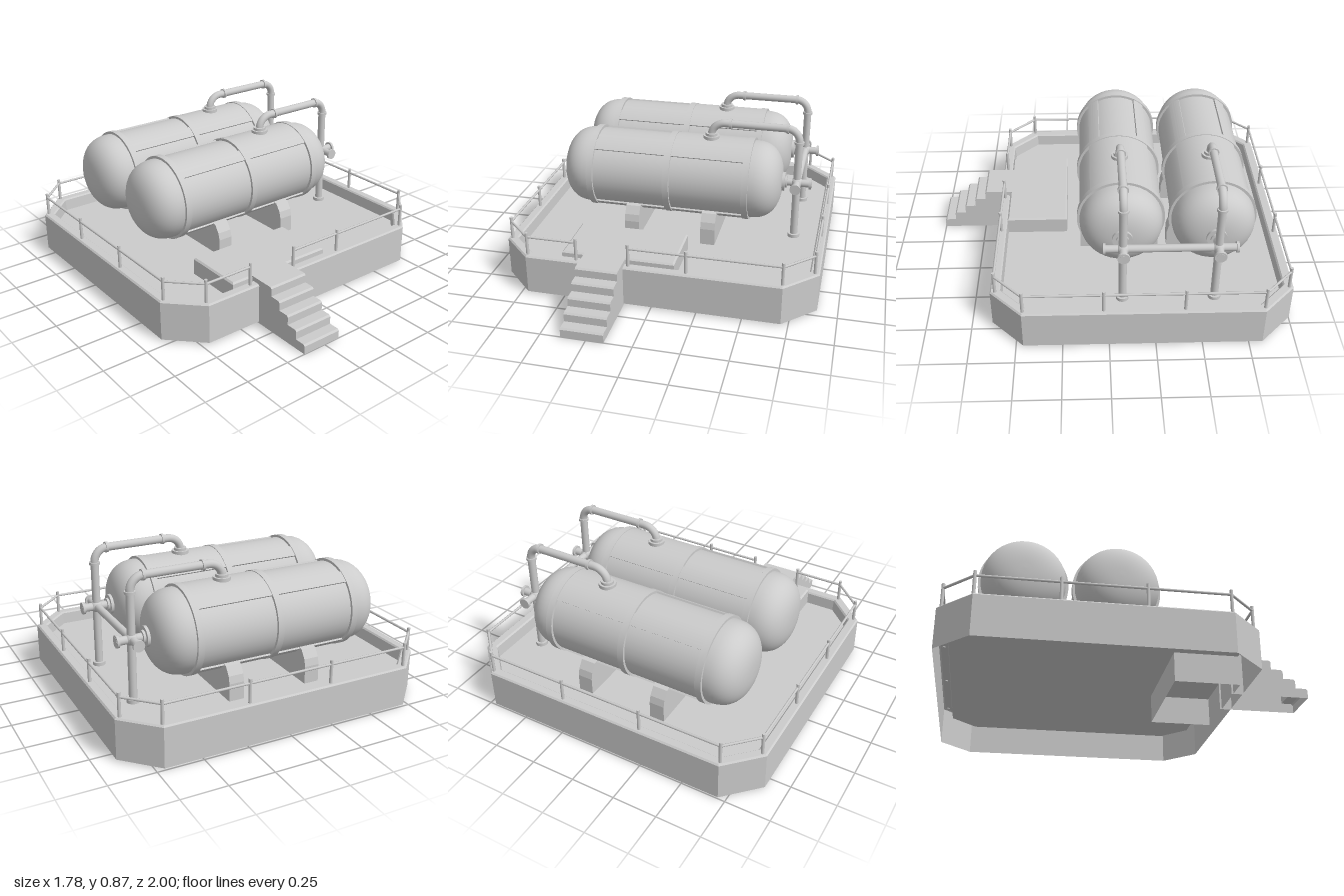
import * as THREE from 'three';
import { mergeGeometries, toCreasedNormals } from 'three/addons/utils/BufferGeometryUtils.js';

const solid = new THREE.MeshStandardMaterial({ color: 0xcccccc });
const thin = new THREE.MeshStandardMaterial({ color: 0xcccccc, side: THREE.DoubleSide });
const FLOOR = 0.163, AXIS_Y = 0.51, TANK_Z = [-0.075, -0.575], RISER_X = 0.693;

function add(parent, name, geometry, material = solid) {
  const mesh = new THREE.Mesh(geometry, material);
  mesh.name = name;
  parent.add(mesh);
  return mesh;
}

// Skin between successive rows of [x, y, z] points
function sheet(rows, closed) {
  const n = rows[0].length, index = [];
  for (let r = 0; r < rows.length - 1; r++) {
    for (let i = 0; i < (closed ? n : n - 1); i++) {
      const a = r * n + i, b = r * n + (i + 1) % n;
      index.push(a, b, a + n, b, b + n, a + n);
    }
  }
  const g = new THREE.BufferGeometry();
  g.setAttribute('position', new THREE.Float32BufferAttribute(rows.flat(2), 3));
  g.setIndex(index);
  const flat = g.toNonIndexed();
  flat.computeVertexNormals();
  return flat;
}

// Cylinder between two points
function rod(from, to, r, sides = 16) {
  const a = new THREE.Vector3(...from), b = new THREE.Vector3(...to);
  const dir = b.clone().sub(a);
  const g = new THREE.CylinderGeometry(r, r, dir.length(), sides);
  g.applyQuaternion(new THREE.Quaternion().setFromUnitVectors(new THREE.Vector3(0, 1, 0), dir.normalize()));
  const c = a.add(b).multiplyScalar(0.5);
  return g.translate(c.x, c.y, c.z);
}

// Chamfered deck outline, inset by d
function outline(d) {
  const x = 0.888 - d, z0 = -1 + d, z1 = 0.638 - d, c = 0.177 - 0.586 * d;
  return [[x, z1 - c], [x, z0 + c], [x - c, z0], [c - x, z0], [-x, z0 + c], [-x, z1 - c], [c - x, z1], [x - c, z1]];
}

function makeDeck() {
  const g = new THREE.Group();
  g.name = 'deck';
  // Outer wall, rim and inner wall as one open-bottomed skin
  const profile = [[0, 0.01], [0, 0.228], [0.008, 0.236], [0.047, 0.236], [0.055, 0.228], [0.06, FLOOR]];
  add(g, 'rimWall', sheet(profile.map(([d, y]) => outline(d).map(([x, z]) => [x, y, z])), true), thin);
  const floor = new THREE.ShapeGeometry(new THREE.Shape(outline(0.06).map(([x, z]) => new THREE.Vector2(x, -z))));
  add(g, 'deckFloor', floor.rotateX(-Math.PI / 2).translate(0, FLOOR, 0), thin);

  // Hollow landing
  const rect = (y, d) => [[-0.517 + d, y, 0.23 + d], [0.118 - d, y, 0.23 + d], [0.118 - d, y, 0.58 - d], [-0.517 + d, y, 0.58 - d]];
  add(g, 'landing', sheet([rect(0, 0), rect(0.253, 0), rect(0.262, 0.009)], true), thin);
  const top = new THREE.PlaneGeometry(0.617, 0.332).rotateX(-Math.PI / 2);
  add(g, 'landingTop', top.translate(-0.1995, 0.262, 0.405), thin);

  // Stairs: treads with eased noses and two side cheeks
  const steps = [[0.57, 0.262]];
  for (let i = 0; i < 5; i++) {
    const z = 0.736 + i * 0.066, y = 0.262 - i * 0.052;
    steps.push([z - 0.009, y], [z, y - 0.009], [z, i < 4 ? y - 0.052 : 0]);
  }
  add(g, 'stairTreads', sheet([-0.388, -0.153].map(x => steps.map(([z, y]) => [x, y, z]))), thin);
  const cheek = new THREE.Shape([...steps, [0.57, 0]].map(([z, y]) => new THREE.Vector2(-z, y)));
  for (const x of [-0.388, -0.153]) {
    add(g, 'stairCheek', new THREE.ShapeGeometry(cheek).rotateY(Math.PI / 2).translate(x, 0, 0), thin);
  }
  return g;
}

function makeRailing() {
  const g = new THREE.Group();
  g.name = 'railing';
  // Posts in order around the deck, leaving a gap at the stairs
  const posts = [[-0.13, 0.61], [0.19, 0.61], [0.707, 0.61], [0.862, 0.455], [0.862, 0.03], [0.862, -0.4],
    [0.862, -0.82], [0.707, -0.975], [0.237, -0.975], [-0.24, -0.975], [-0.707, -0.975], [-0.862, -0.82],
    [-0.862, -0.4], [-0.862, 0.03], [-0.862, 0.455], [-0.707, 0.61], [-0.425, 0.61]];
  posts.forEach(([x, z], i) => {
    add(g, 'railPost', rod([x, 0.23, z], [x, 0.367, z], 0.009, 10));
    if (i) add(g, 'handrail', rod([posts[i - 1][0], 0.342, posts[i - 1][1]], [x, 0.342, z], 0.007, 8));
  });
  return g;
}

// Curved plate on the tank; angles in degrees from the top
function plate(a, b, x0, x1, outer = 0.236) {
  const s = new THREE.Shape();
  const t0 = Math.PI / 2 - THREE.MathUtils.degToRad(a), t1 = Math.PI / 2 - THREE.MathUtils.degToRad(b);
  s.absarc(0, 0, outer, t0, t1, true);
  s.absarc(0, 0, 0.215, t1, t0, false);
  const g = new THREE.ExtrudeGeometry(s, { depth: x1 - x0, bevelEnabled: false, curveSegments: b - a > 300 ? 36 : 12 });
  return toCreasedNormals(g.rotateY(Math.PI / 2).translate(x0, 0, 0), 0.5);
}

function makeTank() {
  const g = new THREE.Group();
  g.name = 'tank';
  // Shell with domed ends
  const dome = [];
  for (let i = 0; i <= 16; i++) {
    const t = i / 16 * Math.PI / 2;
    dome.push([0.226 * Math.sin(t) ** 0.8, i < 16 ? 0.174 * Math.cos(t) ** 0.8 : 0]);
  }
  const pts = [...dome.map(([r, h]) => new THREE.Vector2(r, -0.512 - h)),
    ...dome.reverse().map(([r, h]) => new THREE.Vector2(r, 0.438 + h))];
  add(g, 'tankShell', new THREE.LatheGeometry(pts, 40).rotateZ(-Math.PI / 2), thin);

  // Raised frame leaving sunken panels
  const frame = [];
  for (const x of [-0.508, -0.053, 0.402]) frame.push(plate(0, 359.99, x, x + 0.036, 0.24));
  frame.push(plate(28, 45, -0.48, -0.04), plate(-45, -28, -0.48, -0.04), plate(-45, 45, -0.03, 0.41));
  frame.push(plate(135, 225, -0.48, 0.41));
  add(g, 'tankFrame', mergeGeometries(frame));
  return g;
}

// Cradle under the tank, tucked into its belly
function makeSaddle() {
  const half = [[0.225, FLOOR], [0.225, 0.26], [0.215, 0.3], [0.185, 0.345], [0.12, 0.36]];
  const pts = [...half, ...half.slice().reverse().map(([z, y]) => [-z, y])];
  const s = new THREE.Shape(pts.map(p => new THREE.Vector2(...p)));
  return new THREE.ExtrudeGeometry(s, { depth: 0.085, bevelEnabled: false }).rotateY(Math.PI / 2);
}

function makePipes() {
  const g = new THREE.Group();
  g.name = 'pipework';
  const V = (x, y) => new THREE.Vector3(x, y, 0);
  // Quarter bend from a to b around corner c
  const elbow = (a, c, b) => new THREE.CubicBezierCurve3(a, a.clone().lerp(c, 0.55), b.clone().lerp(c, 0.55), b);
  // Arched pipe from the tank top down to the deck
  const path = new THREE.CurvePath();
  path.add(new THREE.LineCurve3(V(0.187, 0.72), V(0.187, 0.765)));
  path.add(elbow(V(0.187, 0.765), V(0.187, 0.838), V(0.265, 0.838)));
  path.add(new THREE.LineCurve3(V(0.265, 0.838), V(0.62, 0.838)));
  path.add(elbow(V(0.62, 0.838), V(RISER_X, 0.838), V(RISER_X, 0.762)));
  path.add(new THREE.LineCurve3(V(RISER_X, 0.762), V(RISER_X, FLOOR)));
  add(g, 'archedPipe', new THREE.TubeGeometry(path, 110, 0.022, 16));
  add(g, 'outletPipe', rod([0.6, AXIS_Y, 0], [0.778, AXIS_Y, 0], 0.022));
  add(g, 'valveBody', new THREE.SphereGeometry(0.034, 20, 14).translate(RISER_X, AXIS_Y, 0));
  // Flanges: axis, position, radius, thickness
  const flanges = [['y', 0.187, 0.75, 0.047, 0.022], ['y', 0.187, 0.768, 0.035, 0.016], ['x', 0.297, 0.838, 0.029, 0.014],
    ['x', 0.624, 0.838, 0.029, 0.014], ['y', RISER_X, 0.757, 0.029, 0.014], ['y', RISER_X, FLOOR + 0.01, 0.035, 0.02],
    ['x', 0.613, AXIS_Y, 0.055, 0.025], ['x', 0.63, AXIS_Y, 0.035, 0.016], ['x', 0.77, AXIS_Y, 0.033, 0.014]];
  for (const [axis, x, y, r, t] of flanges) {
    const h = t / 2;
    add(g, 'flange', axis === 'x' ? rod([x - h, y, 0], [x + h, y, 0], r, 20) : rod([x, y - h, 0], [x, y + h, 0], r, 20));
  }
  return g;
}

export function createModel() {
  const model = new THREE.Group();
  model.name = 'tankStation';
  model.add(makeDeck(), makeRailing());
  for (const z of TANK_Z) {
    const tank = makeTank();
    tank.position.set(0, AXIS_Y, z);
    const pipes = makePipes();
    pipes.position.z = z;
    model.add(tank, pipes);
    for (const x of [-0.282, 0.172]) add(model, 'saddle', makeSaddle()).position.set(x, 0, z);
  }
  // Manifold joining both tanks
  add(model, 'manifold', rod([RISER_X, AXIS_Y, 0.025], [RISER_X, AXIS_Y, -0.675], 0.021));
  for (const z of [0.023, -0.673]) {
    add(model, 'manifoldFlange', rod([RISER_X, AXIS_Y, z - 0.007], [RISER_X, AXIS_Y, z + 0.007], 0.031, 20));
  }
  return model;
}
